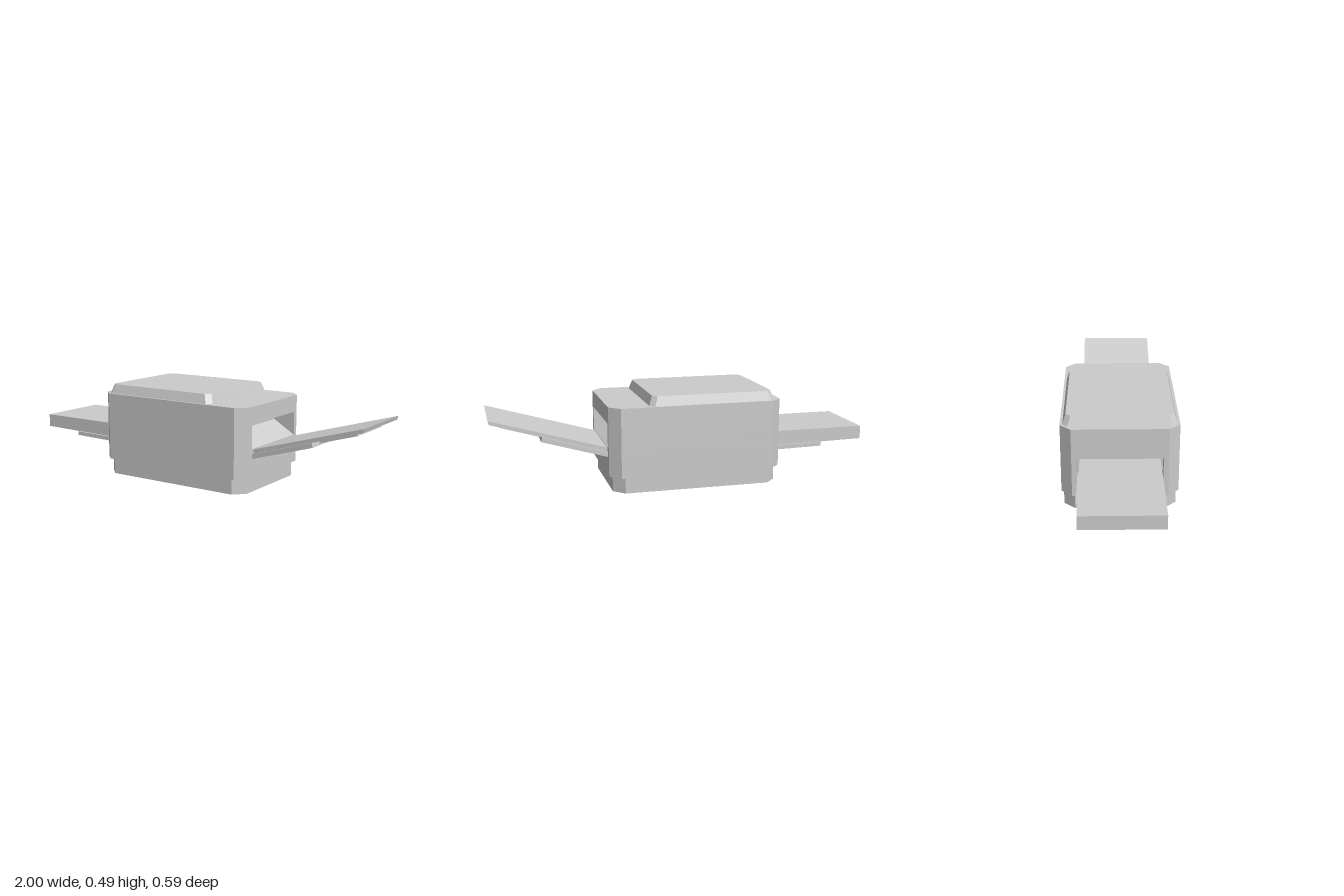
import * as THREE from 'three';
import { ConvexGeometry } from 'three/addons/geometries/ConvexGeometry.js';

const material = new THREE.MeshStandardMaterial({ color: 0xcccccc, flatShading: true });

function add(parent, name, geometry) {
  const mesh = new THREE.Mesh(geometry, material);
  mesh.name = name;
  parent.add(mesh);
  return mesh;
}

const toShape = (points) => new THREE.Shape(points.map(([x, y]) => new THREE.Vector2(x, y)));

// Chamfered rectangle in plan, with optional notches cut into the left and right ends.
function plan(x0, x1, halfZ, c, notchLow = 0, notchHigh = 0, halfNotch = 0.213) {
  const p = [[x0 + c, -halfZ], [x1 - c, -halfZ], [x1, -halfZ + c]];
  if (notchHigh) p.push([x1, -halfNotch], [x1 - notchHigh, -halfNotch], [x1 - notchHigh, halfNotch], [x1, halfNotch]);
  p.push([x1, halfZ - c], [x1 - c, halfZ], [x0 + c, halfZ], [x0, halfZ - c]);
  if (notchLow) p.push([x0, halfNotch], [x0 + notchLow, halfNotch], [x0 + notchLow, -halfNotch], [x0, -halfNotch]);
  p.push([x0, -halfZ + c]);
  return p;
}

// Extrudes a plan outline upward between two heights.
function slab(points, y0, y1) {
  return new THREE.ExtrudeGeometry(toShape(points), { depth: y1 - y0, bevelEnabled: false })
    .rotateX(-Math.PI / 2).translate(0, y0, 0);
}

// Extrudes a side profile (x, y) across the width.
function across(points, halfZ) {
  return new THREE.ExtrudeGeometry(toShape(points), { depth: 2 * halfZ, bevelEnabled: false })
    .translate(0, 0, -halfZ);
}

export function createModel() {
  const model = new THREE.Group();
  model.name = 'printer';

  add(model, 'base', slab(plan(-0.485, 0.39, 0.282, 0.056), 0, 0.082));

  // Casing in layers: [bottom, top, depth of slot at -x, depth of slot at +x]
  const casing = new THREE.Group();
  casing.name = 'casing';
  model.add(casing);
  [
    [0.082, 0.155, 0, 0],
    [0.155, 0.228, 0.06, 0],
    [0.228, 0.285, 0.06, 0.12],
    [0.285, 0.355, 0, 0.12],
    [0.355, 0.443, 0, 0],
  ].forEach(([y0, y1, low, high]) =>
    add(casing, 'casingLayer', slab(plan(-0.505, 0.41, 0.294, 0.055, low, high), y0, y1)));

  // Sloping guide inside the output slot
  add(model, 'slotGuide', across([[0.29, 0.22], [0.41, 0.22], [0.41, 0.23], [0.29, 0.303]], 0.213));

  // Scanner lid: tapered, chamfered block
  const ring = (points, y) => points.map(([x, z]) => new THREE.Vector3(x, y, z));
  add(model, 'lid', new ConvexGeometry([
    ...ring(plan(-0.467, 0.202, 0.281, 0.025), 0.443),
    ...ring(plan(-0.45, 0.185, 0.265, 0.025), 0.492),
  ]));

  // Sloping tray at +x with its two stepped supports
  const outputTray = new THREE.Group();
  outputTray.name = 'outputTray';
  model.add(outputTray);
  add(outputTray, 'trayPlate', across([[0.36, 0.188], [0.995, 0.378], [1, 0.398], [0.36, 0.212]], 0.2));
  add(outputTray, 'traySupport', across([[0.36, 0.165], [0.745, 0.279], [0.74, 0.303], [0.36, 0.189]], 0.212));
  add(outputTray, 'trayExtension', across([[0.7, 0.275], [0.94, 0.346], [0.936, 0.361], [0.7, 0.291]], 0.136));

  // Level cassette at -x with its two stepped supports
  const cassette = new THREE.Group();
  cassette.name = 'cassette';
  model.add(cassette);
  add(cassette, 'cassetteBox', across([[-1, 0.187], [-0.445, 0.178], [-0.445, 0.257], [-1, 0.257]], 0.2));
  add(cassette, 'cassetteSupport', across([[-0.762, 0.163], [-0.445, 0.157], [-0.445, 0.18], [-0.762, 0.184]], 0.212));
  add(cassette, 'cassetteExtension', across([[-0.97, 0.175], [-0.74, 0.169], [-0.74, 0.184], [-0.97, 0.188]], 0.136));

  return model;
}
